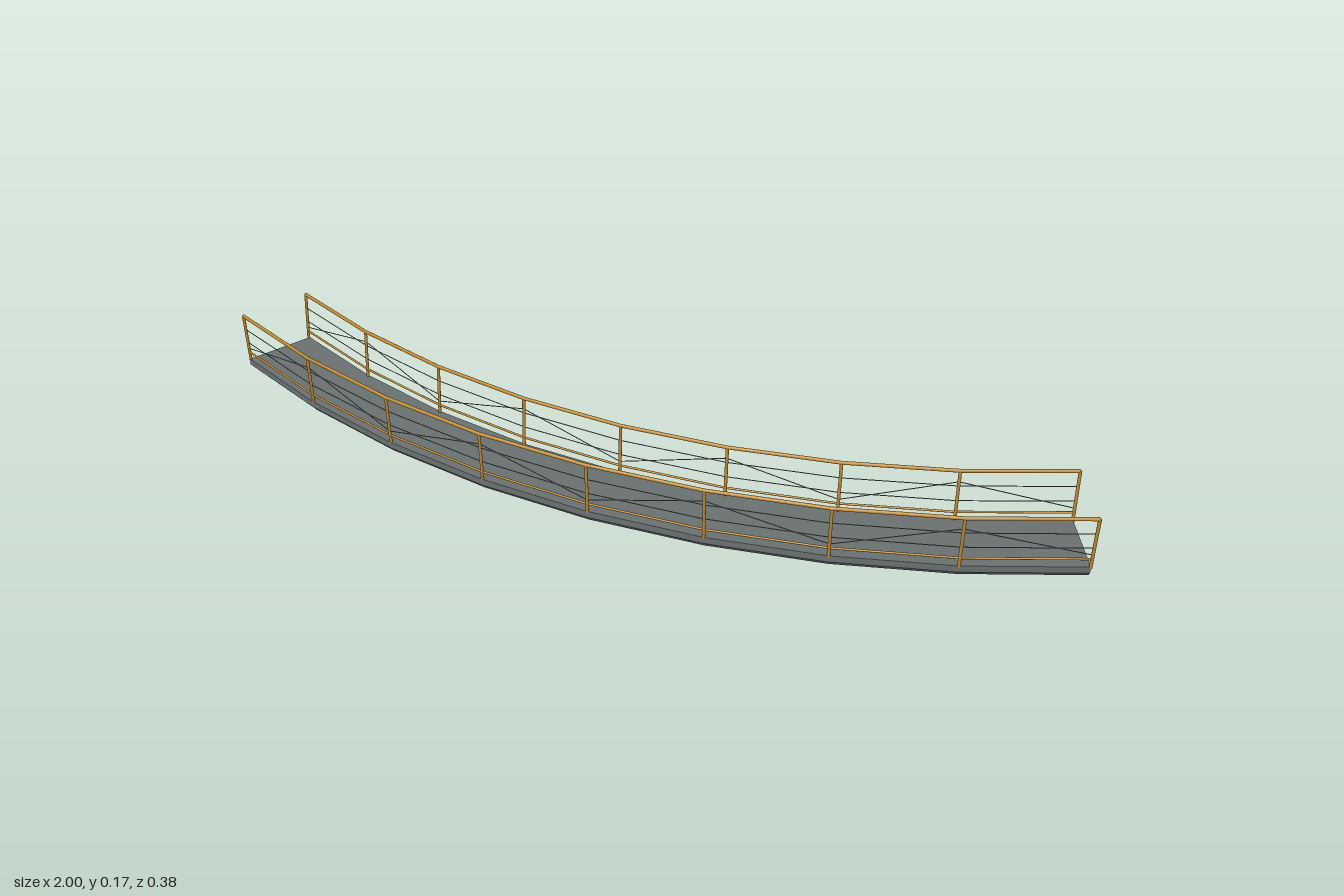
import * as THREE from 'three';
import { mergeVertices } from 'three/addons/utils/BufferGeometryUtils.js';

// Curved footbridge: everything follows an arc of eight straight bays.
const BAYS = 8;
const HALF_ANGLE = 0.4276;
const CENTRE_Z = -2.225;
const RISE = 0.019;

// Point on the arc at joint i, radius r and height y above the middle of the span.
function at(i, r, y) {
  const a = HALF_ANGLE * (2 * i / BAYS - 1);
  const lift = RISE * (1 - Math.cos(a)) / (1 - Math.cos(HALF_ANGLE));
  return new THREE.Vector3(r * Math.sin(a), y + lift, CENTRE_Z + r * Math.cos(a));
}

// Sweeps a counter-clockwise (radius, height) profile along the arc, mitred at the joints.
function sweep(profile) {
  const pos = [];
  const tri = (...pts) => pts.forEach((p) => pos.push(p.x, p.y, p.z));
  const n = profile.length;
  const p = (i, k) => at(i, profile[k % n][0], profile[k % n][1]);
  for (let i = 0; i < BAYS; i++) {
    for (let k = 0; k < n; k++) {
      tri(p(i, k), p(i + 1, k), p(i, k + 1));
      tri(p(i, k + 1), p(i + 1, k), p(i + 1, k + 1));
    }
  }
  for (let k = 1; k < n - 1; k++) {
    tri(p(0, 0), p(0, k), p(0, k + 1));
    tri(p(BAYS, 0), p(BAYS, k + 1), p(BAYS, k));
  }
  const g = new THREE.BufferGeometry();
  g.setAttribute('position', new THREE.Float32BufferAttribute(pos, 3));
  g.computeVertexNormals();
  return g;
}

// Smooth round rail or wire following the arc.
function roundRail(r, y, radius, sides) {
  const g = sweep(Array.from({ length: sides }, (_, k) => {
    const t = (k / sides) * Math.PI * 2;
    return [r + radius * Math.cos(t), y + radius * Math.sin(t)];
  }));
  g.deleteAttribute('normal');
  const smooth = mergeVertices(g, 1e-5);
  smooth.computeVertexNormals();
  return smooth;
}

// Straight round bar between two points.
function bar(a, b, radius, sides) {
  const dir = b.clone().sub(a);
  const g = new THREE.CylinderGeometry(radius, radius, dir.length(), sides);
  g.applyQuaternion(new THREE.Quaternion().setFromUnitVectors(
    new THREE.Vector3(0, 1, 0), dir.normalize()));
  const m = a.clone().add(b).multiplyScalar(0.5);
  return g.translate(m.x, m.y, m.z);
}

export function createModel() {
  const model = new THREE.Group();
  model.name = 'curvedFootbridge';

  const deckGrey = new THREE.MeshStandardMaterial({ color: 0x697070 });
  deckGrey.name = 'deck grey';
  const railGold = new THREE.MeshStandardMaterial({ color: 0xb8862f });
  railGold.name = 'rail gold';
  const wireGrey = new THREE.MeshStandardMaterial({ color: 0x5e6567 });
  wireGrey.name = 'wire grey';

  const add = (parent, name, geometry, material) => {
    const mesh = new THREE.Mesh(geometry, material);
    mesh.name = name;
    parent.add(mesh);
  };

  // Deck slab, with a shallow chamfered beam under each edge
  add(model, 'deck', sweep([
    [2.407, 0.012], [2.407, 0.027], [2.241, 0.027],
    [2.241, 0.012], [2.246, 0.006], [2.402, 0.006],
  ]), deckGrey);
  add(model, 'outerEdgeBeam', sweep([
    [2.402, 0.006], [2.388, 0.006], [2.388, 0], [2.397, 0],
  ]), deckGrey);
  add(model, 'innerEdgeBeam', sweep([
    [2.26, 0.006], [2.246, 0.006], [2.251, 0], [2.26, 0],
  ]), deckGrey);

  // Railings lean slightly away from the deck
  const sides = [
    { name: 'outerRailing', base: 2.404, top: 2.409 },
    { name: 'innerRailing', base: 2.244, top: 2.239 },
  ];
  for (const side of sides) {
    const railing = new THREE.Group();
    railing.name = side.name;
    model.add(railing);
    const radiusAt = (y) => THREE.MathUtils.mapLinear(y, 0.025, 0.144, side.base, side.top);

    add(railing, 'handrail', roundRail(side.top, 0.143, 0.004, 16), railGold);
    add(railing, 'lowerRail', roundRail(radiusAt(0.045), 0.045, 0.0025, 16), railGold);
    for (const y of [0.072, 0.107]) {
      add(railing, 'wire', roundRail(radiusAt(y), y, 0.001, 14), wireGrey);
    }

    // Posts at every joint, diagonal wires zigzagging between them
    for (let i = 0; i <= BAYS; i++) {
      add(railing, 'post', bar(at(i, side.base, 0.022), at(i, side.top, 0.143), 0.0035, 16), railGold);
      if (i === BAYS) continue;
      const y0 = i % 2 ? 0.117 : 0.055;
      const y1 = i % 2 ? 0.055 : 0.117;
      add(railing, 'diagonalWire',
        bar(at(i, radiusAt(y0), y0), at(i + 1, radiusAt(y1), y1), 0.001, 14), wireGrey);
    }
  }
  return model;
}
